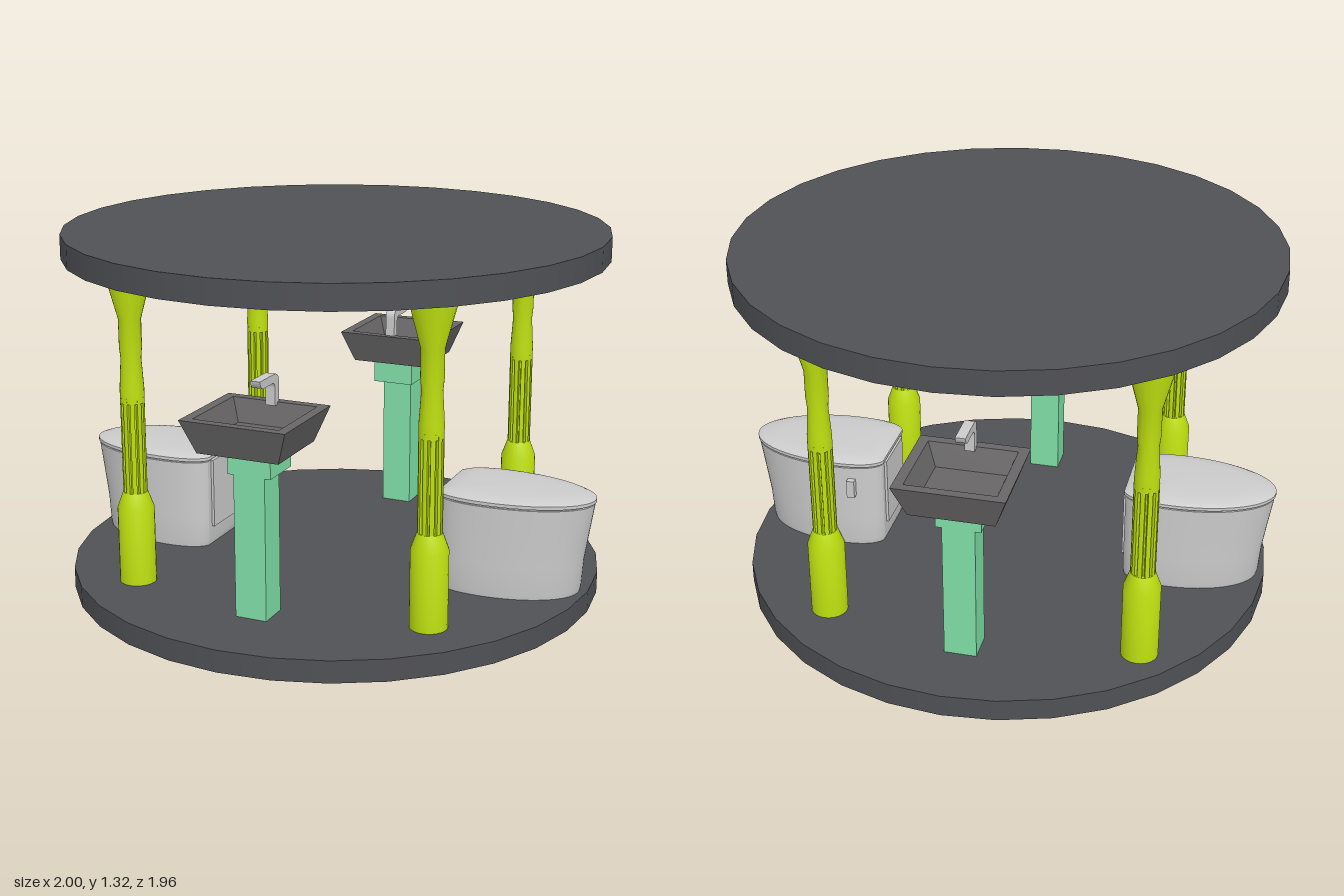
import * as THREE from 'three';
import { toCreasedNormals } from 'three/addons/utils/BufferGeometryUtils.js';

const mat = (color) => new THREE.MeshStandardMaterial({ color });
const slate = mat(0x505155), lime = mat(0xbfe010), mint = mat(0x80e0a8), basinGrey = mat(0x686666), grey = mat(0xcccccc);

function add(parent, name, geometry, material, x = 0, y = 0, z = 0) {
  const mesh = new THREE.Mesh(geometry, material);
  mesh.name = name;
  mesh.position.set(x, y, z);
  parent.add(mesh);
  return mesh;
}

function lathe(profile, segments, start = 0) {
  const pts = profile.map(([r, y]) => new THREE.Vector2(r, y));
  return toCreasedNormals(new THREE.LatheGeometry(pts, segments, start), 0.45);
}

// Box given by its limits on each axis
function box(parent, name, material, x0, x1, y0, y1, z0, z1) {
  return add(parent, name, new THREE.BoxGeometry(x1 - x0, y1 - y0, z1 - z0), material,
    (x0 + x1) / 2, (y0 + y1) / 2, (z0 + z1) / 2);
}

// Pillar: turned foot and flared head with a fluted shaft between
function makePillar() {
  const g = new THREE.Group();
  g.name = 'pillar';
  add(g, 'pillarFoot', lathe([[0, 0.07], [0.066, 0.07], [0.066, 0.36], [0.044, 0.42], [0, 0.42]], 24), lime);
  add(g, 'pillarHead', lathe([[0, 0.75], [0.043, 0.75], [0.043, 0.8], [0.036, 0.91], [0.04, 0.95], [0.04, 1.05],
    [0.077, 1.19], [0.077, 1.24], [0, 1.24]], 24), lime);
  const flutes = 10, pts = [];
  for (let i = 0; i < flutes; i++) {
    for (const [f, r] of [[0, 0.043], [0.3, 0.0435], [0.6, 0.043], [0.66, 0.031], [0.94, 0.031]]) {
      const a = ((i + f) / flutes) * Math.PI * 2;
      pts.push(new THREE.Vector2(Math.cos(a) * r, Math.sin(a) * r));
    }
  }
  const shaft = new THREE.ExtrudeGeometry(new THREE.Shape(pts), { depth: 0.36, bevelEnabled: false });
  shaft.rotateX(-Math.PI / 2);
  add(g, 'flutedShaft', shaft, lime, 0, 0.41, 0);
  return g;
}

// Egg-shaped outline of the toilet, flat at the back, pointing along +x
const BACK = 0.46;
function toiletOutline() {
  const s = new THREE.Shape();
  s.moveTo(BACK, -0.125);
  s.quadraticCurveTo(0.49, -0.183, 0.64, -0.183);
  s.absellipse(0.64, 0, 0.36, 0.183, -Math.PI / 2, Math.PI / 2, false);
  s.quadraticCurveTo(0.49, 0.183, BACK, 0.125);
  s.closePath();
  return s.getPoints(16).slice(0, -1);
}

// Closed loft of the outline; each ring is [height, back x, front x, width factor]
function loft(rings) {
  const outline = toiletOutline(), n = outline.length, pos = [], idx = [];
  for (const [y, back, front, w] of rings) {
    for (const p of outline) pos.push(back + (p.x - BACK) * (front - back) / (1 - BACK), y, p.y * w);
  }
  const last = (rings.length - 1) * n, c0 = rings.length * n;
  pos.push(0.7, rings[0][0], 0, 0.7, rings[rings.length - 1][0], 0);
  for (let j = 0; j < n; j++) {
    const k = (j + 1) % n;
    for (let i = 0; i < last; i += n) idx.push(i + j, i + n + j, i + k, i + k, i + n + j, i + n + k);
    idx.push(c0, j, k, c0 + 1, last + k, last + j);
  }
  const g = new THREE.BufferGeometry();
  g.setAttribute('position', new THREE.Float32BufferAttribute(pos, 3));
  g.setIndex(idx);
  return toCreasedNormals(g, 0.5);
}

// Toilet pointing along +x; leverSide chooses the side of the flush lever
function makeToilet(leverSide) {
  const g = new THREE.Group();
  g.name = 'toilet';
  add(g, 'toiletBowl', loft([[0.075, 0.47, 0.95, 0.97], [0.1, 0.465, 0.956, 0.99], [0.2, 0.465, 0.963, 0.99],
    [0.3, 0.465, 0.978, 0.99], [0.415, 0.465, 0.996, 0.99]]), grey);
  add(g, 'toiletSeat', loft([[0.415, 0.475, 0.985, 0.95], [0.422, 0.475, 0.985, 0.95]]), grey);
  add(g, 'toiletLid', loft([[0.421, 0.46, 1, 1], [0.433, 0.46, 1, 1], [0.442, 0.48, 0.975, 0.92], [0.448, 0.53, 0.9, 0.7]]), grey);
  box(g, 'backPlate', grey, 0.455, 0.48, 0.15, 0.415, -0.1, 0.1);
  const z = leverSide * 0.188;
  box(g, 'flushLever', grey, 0.555, 0.585, 0.3, 0.37, z - 0.012, z + 0.012);
  return g;
}

// Washbasin facing +z: pedestal, hollow square basin and tap
function makeWashbasin() {
  const g = new THREE.Group();
  g.name = 'washbasin';
  box(g, 'pedestal', mint, -0.058, 0.058, 0.07, 0.6, -0.056, 0.056);
  box(g, 'pedestalCap', mint, -0.08, 0.08, 0.592, 0.682, -0.105, 0.056);
  const basin = lathe([[0, 0.68], [0.15, 0.68], [0.194, 0.8], [0.158, 0.8], [0.125, 0.72], [0, 0.72]]
    .map(([r, y]) => [r * Math.SQRT2, y]), 4, Math.PI / 4);
  basin.scale(1, 1, 0.93);
  add(g, 'basin', basin, basinGrey);
  // Tap profile drawn in the z-y plane
  const s = new THREE.Shape();
  s.moveTo(-0.16, 0.79);
  s.lineTo(-0.16, 0.87);
  s.quadraticCurveTo(-0.16, 0.903, -0.125, 0.903);
  s.lineTo(-0.015, 0.903);
  s.quadraticCurveTo(-0.02, 0.877, -0.04, 0.873);
  s.lineTo(-0.115, 0.873);
  s.quadraticCurveTo(-0.13, 0.87, -0.13, 0.85);
  s.lineTo(-0.13, 0.79);
  const tap = new THREE.ExtrudeGeometry(s, { depth: 0.036, bevelEnabled: false, curveSegments: 6 });
  tap.rotateY(-Math.PI / 2);
  add(g, 'tap', tap, grey, 0.01, 0, 0);
  return g;
}

export function createModel() {
  const model = new THREE.Group();
  model.name = 'washroomPavilion';

  // Floor and roof discs
  add(model, 'floor', new THREE.CylinderGeometry(0.98, 0.98, 0.08, 32), slate, 0, 0.04, 0);
  add(model, 'roof', new THREE.CylinderGeometry(0.98, 0.98, 0.088, 32), slate, 0, 1.278, 0);

  // Four pillars
  for (const [x, z] of [[0.57, 0.52], [-0.54, 0.55], [0.525, -0.58], [-0.61, -0.58]]) {
    const pillar = makePillar();
    pillar.position.set(x, 0, z);
    model.add(pillar);
  }

  // Toilets back to back, both levers on the rear side
  for (const side of [1, -1]) {
    const toilet = makeToilet(-side);
    toilet.rotation.y = side > 0 ? 0 : Math.PI;
    toilet.position.z = 0.02;
    model.add(toilet);
  }

  // Washbasins at front and back
  for (const [z, turn] of [[0.65, 0], [-0.682, Math.PI]]) {
    const washbasin = makeWashbasin();
    washbasin.position.set(-0.007, 0, z);
    washbasin.rotation.y = turn;
    model.add(washbasin);
  }
  return model;
}
